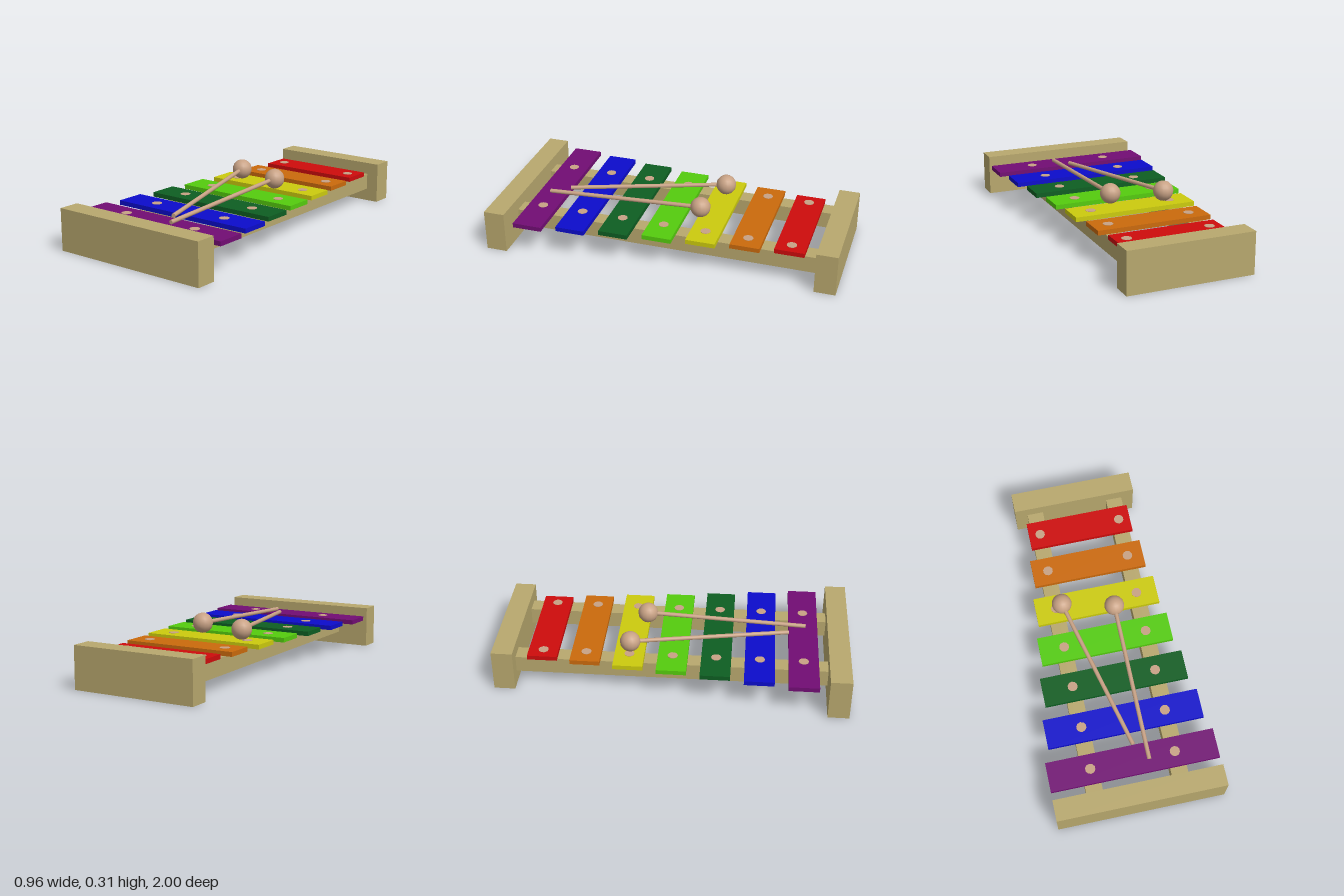
import * as THREE from 'three';

const mat = (name, color) => {
  const m = new THREE.MeshStandardMaterial({ color });
  m.name = name;
  return m;
};

export function createModel() {
  const model = new THREE.Group();
  model.name = 'xylophone';
  const frameWood = mat('frame wood', 0xb8a86e);
  const malletWood = mat('mallet wood', 0xc8a285);

  const add = (name, geometry, material, x, y, z, parent = model) => {
    const mesh = new THREE.Mesh(geometry, material);
    mesh.name = name;
    mesh.position.set(x, y, z);
    parent.add(mesh);
    return mesh;
  };

  // End blocks: wide in front, narrow at the back
  add('frontBlock', new THREE.BoxGeometry(0.96, 0.24, 0.12), frameWood, 0, 0.12, 0.94);
  add('backBlock', new THREE.BoxGeometry(0.726, 0.24, 0.12), frameWood, 0, 0.12, -0.94);

  // Two rails joining the blocks
  for (const [side, s] of [['left', 1], ['right', -1]]) {
    add(side + 'Rail', new THREE.BoxGeometry(0.095, 0.096, 1.78), frameWood, s * 0.243, 0.122, 0);
  }

  // Sound bars, widening toward the front, each with two pegs
  const bars = [
    ['red', 0xce0c0c, 0.308], ['orange', 0xcb6a0c, 0.333], ['yellow', 0xcccb0e, 0.36],
    ['light green', 0x55cc0e, 0.385], ['dark green', 0x0e5e22, 0.415],
    ['blue', 0x0c0ccc, 0.447], ['purple', 0x720d74, 0.48],
  ];
  const pegGeometry = new THREE.CylinderGeometry(0.029, 0.029, 0.02, 10);
  bars.forEach(([color, hex, half], i) => {
    const z = -0.725 + i * 0.2445;
    const bar = new THREE.Group();
    bar.name = 'bar ' + (i + 1);
    model.add(bar);
    add('plate', new THREE.BoxGeometry(half * 2, 0.026, 0.168), mat(color, hex), 0, 0.183, z, bar);
    for (const s of [-1, 1]) add('peg', pegGeometry, malletWood, s * 0.241, 0.188, z, bar);
  });

  // Mallets resting on the bars: a stick from head to tip and a ball
  const mallet = (name, head, tip) => {
    const group = new THREE.Group();
    group.name = name;
    model.add(group);
    const dir = tip.clone().sub(head);
    const mid = head.clone().add(tip).multiplyScalar(0.5);
    const stick = add('stick', new THREE.CylinderGeometry(0.012, 0.012, dir.length(), 12),
      malletWood, mid.x, mid.y, mid.z, group);
    stick.quaternion.setFromUnitVectors(new THREE.Vector3(0, 1, 0), dir.normalize());
    add('head', new THREE.SphereGeometry(0.058, 16, 12), malletWood, head.x, head.y, head.z, group);
  };
  mallet('rightMallet', new THREE.Vector3(-0.205, 0.255, -0.235), new THREE.Vector3(0.021, 0.208, 0.657));
  mallet('leftMallet', new THREE.Vector3(0.091, 0.255, -0.162), new THREE.Vector3(0.091, 0.208, 0.757));

  return model;
}
